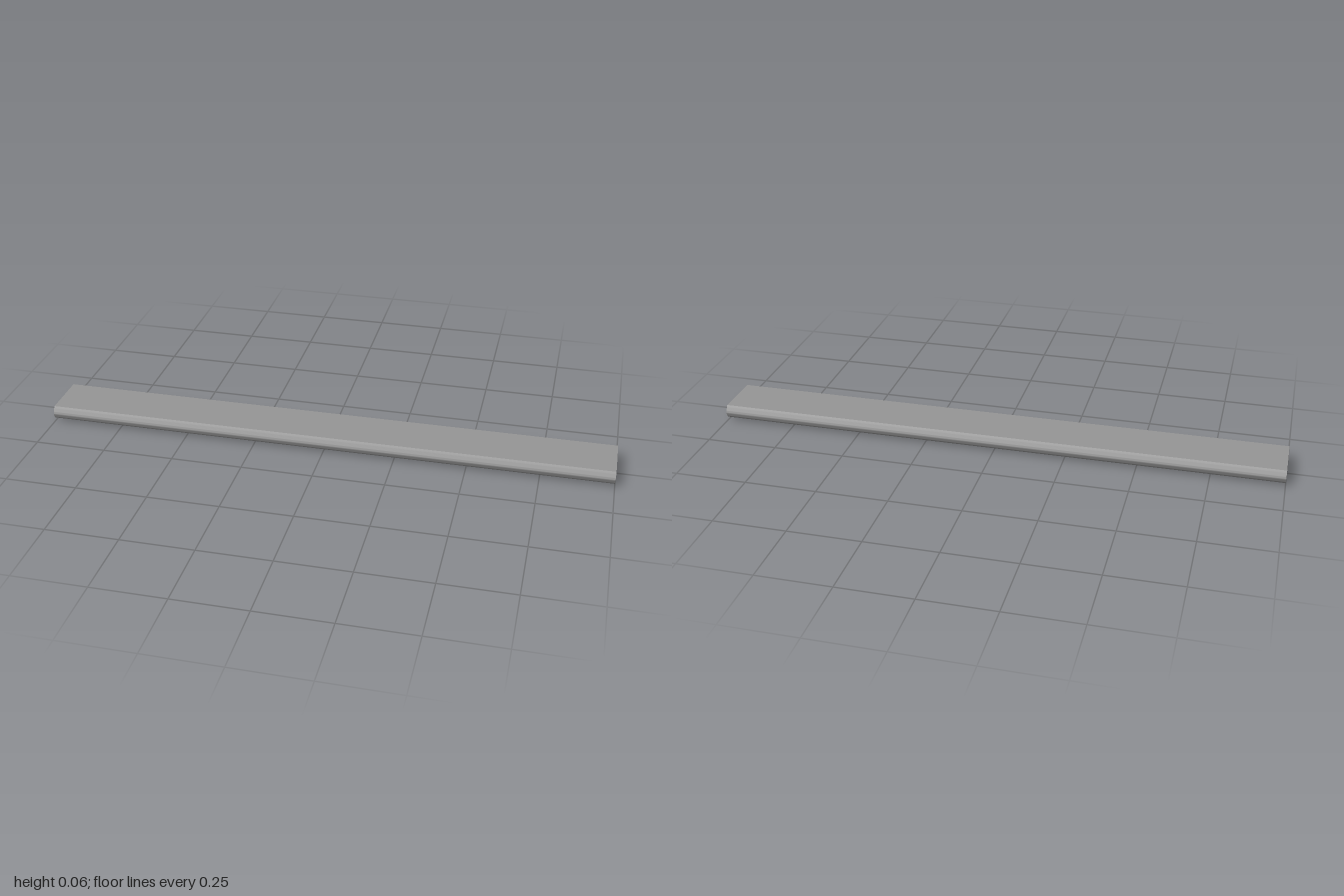
import * as THREE from 'three';
import { toCreasedNormals } from 'three/addons/utils/BufferGeometryUtils.js';

const HEIGHT = 0.058;
const SLOT = 0.055;    // half width of the underside channel
const DEPTH = 0.035;   // depth of the channel
const CELLS = 11;      // cells per louvre
const PITCH = 0.085;
const GAP = 0.03;      // half width of the centre bridge
const SHEET = 0.003;   // thickness of the louvre sheets
const RECESS = 0.0005; // louvre edges sit just inside the housing

export function createModel() {
  const model = new THREE.Group();
  const bodyMaterial = new THREE.MeshStandardMaterial({ color: 0x959595 });
  const louvreMaterial = new THREE.MeshStandardMaterial({ color: 0xcccccc });

  function box(name, parent, material, size, position) {
    const mesh = new THREE.Mesh(new THREE.BoxGeometry(...size), material);
    mesh.name = name;
    mesh.position.set(...position);
    parent.add(mesh);
  }

  // Housing: rounded section with a channel open to the underside
  const profile = new THREE.Shape();
  profile.moveTo(SLOT, 0);
  profile.bezierCurveTo(0.078, 0.001, 0.099, 0.015, 0.1, 0.033);
  profile.quadraticCurveTo(0.099, 0.04, 0.087, HEIGHT);
  profile.lineTo(-0.087, HEIGHT);
  profile.quadraticCurveTo(-0.099, 0.04, -0.1, 0.033);
  profile.bezierCurveTo(-0.099, 0.015, -0.078, 0.001, -SLOT, 0);
  profile.lineTo(-SLOT, DEPTH);
  profile.lineTo(SLOT, DEPTH);
  profile.closePath();
  const geometry = new THREE.ExtrudeGeometry(profile, { depth: 2, bevelEnabled: false, curveSegments: 12 });
  geometry.translate(0, 0, -1).rotateY(Math.PI / 2);
  const housing = new THREE.Mesh(toCreasedNormals(geometry, 0.5), bodyMaterial);
  housing.name = 'housing';
  model.add(housing);

  // Solid bridge between the two louvres
  box('centreBridge', model, bodyMaterial, [2 * GAP, DEPTH, 2 * SLOT], [0, DEPTH / 2, 0]);

  const length = CELLS * PITCH;
  const sheetHeight = DEPTH - RECESS;
  const sheetY = (DEPTH + RECESS) / 2;
  for (const side of [-1, 1]) {
    // End block closing the channel
    const end = GAP + length;
    box('endBlock', model, bodyMaterial, [1 - end, DEPTH, 2 * SLOT], [side * (1 + end) / 2, DEPTH / 2, 0]);

    // Louvre: bright reflector, side walls and cross blades
    const louvre = new THREE.Group();
    louvre.name = side > 0 ? 'leftLouvre' : 'rightLouvre';
    const middle = side * (GAP + length / 2);
    box('reflector', louvre, louvreMaterial, [length, 0.001, 2 * SLOT], [middle, DEPTH - 0.0005, 0]);
    for (const z of [-1, 1]) {
      box('sideWall', louvre, louvreMaterial, [length, sheetHeight, SHEET], [middle, sheetY, z * SLOT]);
    }
    for (let i = 0; i <= CELLS; i++) {
      const x = side * (GAP + i * PITCH);
      box('crossBlade', louvre, louvreMaterial, [SHEET, sheetHeight, 2 * SLOT], [x, sheetY, 0]);
    }
    model.add(louvre);
  }
  return model;
}
